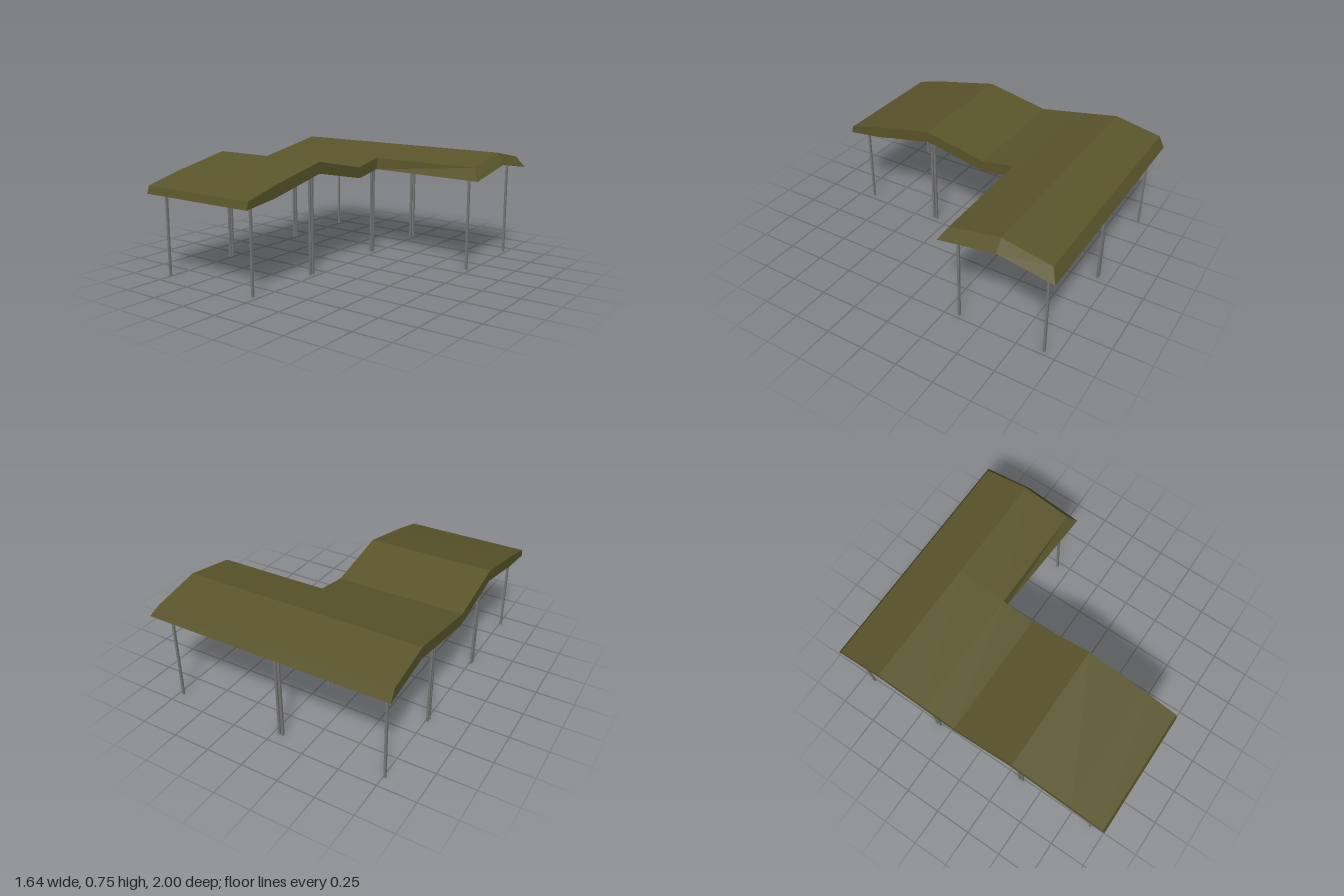
import * as THREE from 'three';

// Roof profile stations from front to back, each [z, y]
const TOP = [[0.985, 0.597], [0.76, 0.655], [0.34, 0.742], [-0.09, 0.652], [-0.31, 0.69], [-0.645, 0.75], [-0.96, 0.687]];
const BOTTOM = [[1, 0.547], [0.76, 0.578], [0.34, 0.667], [-0.1, 0.577], [-0.3, 0.612], [-0.645, 0.673], [-1, 0.612]];
const JOINT = 4; // station where the side wing begins

const section = (profile, x, from = 0) => profile.slice(from).map(([z, y]) => [x, y, z]);

// Flat-shaded geometry from a list of four-cornered faces
function quadGeometry(quads) {
  const positions = [];
  for (const [a, b, c, d] of quads) positions.push(...a, ...b, ...c, ...a, ...c, ...d);
  const geometry = new THREE.BufferGeometry();
  geometry.setAttribute('position', new THREE.Float32BufferAttribute(positions, 3));
  geometry.computeVertexNormals();
  return geometry;
}

// Slab between a left and a right section, with closed front and back edges
function slab(left, right, leftEndCount, rightEndCount) {
  const quads = [];
  const { top: lt, bottom: lb } = left, { top: rt, bottom: rb } = right;
  const n = lt.length - 1;
  for (let i = 0; i < n; i++) {
    quads.push([lt[i], rt[i], rt[i + 1], lt[i + 1]]);
    quads.push([lb[i + 1], rb[i + 1], rb[i], lb[i]]);
    if (i < leftEndCount) quads.push([lt[i], lt[i + 1], lb[i + 1], lb[i]]);
    if (i < rightEndCount) quads.push([rb[i], rb[i + 1], rt[i + 1], rt[i]]);
  }
  quads.push([lb[0], rb[0], rt[0], lt[0]]);
  quads.push([lt[n], rt[n], rb[n], lb[n]]);
  return quadGeometry(quads);
}

// Height of the roof underside at a given z
function undersideAt(z) {
  for (let i = 0; i < BOTTOM.length - 1; i++) {
    const [z0, y0] = BOTTOM[i], [z1, y1] = BOTTOM[i + 1];
    if (z <= z0 && z >= z1) return y0 + (y1 - y0) * (z0 - z) / (z0 - z1);
  }
  return BOTTOM[0][1];
}

export function createModel() {
  const group = new THREE.Group();
  const roofMaterial = new THREE.MeshStandardMaterial({ color: 0x5a552b, flatShading: true });
  const postMaterial = new THREE.MeshStandardMaterial({ color: 0x777777 });
  const add = (name, geometry, material) => {
    const mesh = new THREE.Mesh(geometry, material);
    mesh.name = name;
    group.add(mesh);
    return mesh;
  };

  // Long wavy roof, its right end closed only where the wing does not join
  const mainLeft = { top: section(TOP, -0.82), bottom: section(BOTTOM, -0.82) };
  const mainRight = { top: section(TOP, 0.027), bottom: section(BOTTOM, 0.027) };
  add('mainRoof', slab(mainLeft, mainRight, 6, JOINT), roofMaterial);

  // Side wing with edges that flare outwards at the bottom
  const wingInner = { top: section(TOP, 0.027, JOINT), bottom: section(BOTTOM, 0.027, JOINT) };
  const wingOuter = { top: section(TOP, 0.77, JOINT), bottom: section(BOTTOM, 0.82, JOINT) };
  wingOuter.bottom[0] = [0.82, 0.612, -0.26];
  add('wingRoof', slab(wingInner, wingOuter, 0, 2), roofMaterial);

  // Slim posts reaching the underside of the roof
  const post = (name, x, z) => {
    const height = undersideAt(z) + 0.006;
    add(name, new THREE.BoxGeometry(0.014, height, 0.014), postMaterial).position.set(x, height / 2, z);
  };
  for (const [x, z] of [[-0.76, 0.9], [-0.04, 0.9], [-0.76, -0.92], [0.72, -0.92], [0.72, -0.34]]) {
    post('cornerPost', x, z);
  }

  // Twin posts under the middle of the roof
  for (const x of [-0.76, -0.04]) {
    for (const z of [0.345, -0.35]) {
      for (const side of [-1, 1]) post('twinPost', x, z + side * 0.012);
    }
  }
  for (const x of [-0.062, -0.038]) post('backTwinPost', x, -0.92);

  return group;
}
